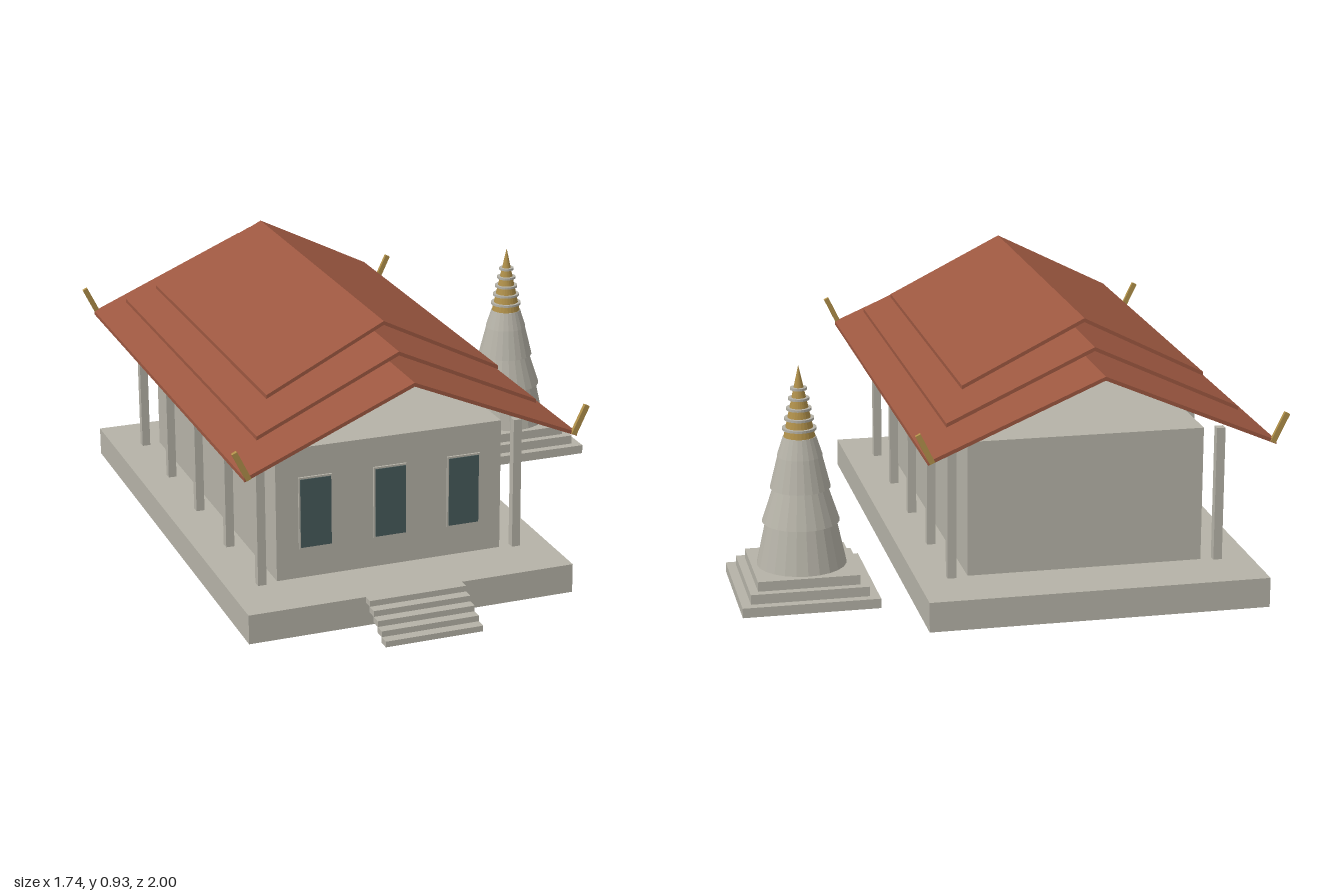
import * as THREE from 'three';

const stone = new THREE.MeshStandardMaterial({ color: 0xb5b2a7 });
const tile = new THREE.MeshStandardMaterial({ color: 0x9c5740 });
const gold = new THREE.MeshStandardMaterial({ color: 0xb0904a });
const glass = new THREE.MeshStandardMaterial({ color: 0x475a5a });
stone.name = 'stone';
tile.name = 'roofTile';
gold.name = 'gold';
glass.name = 'darkGlass';

const HALL_X = -0.265, HALL_Z = -0.086;

function add(parent, name, geometry, material, x, y, z) {
  const mesh = new THREE.Mesh(geometry, material);
  mesh.name = name;
  mesh.position.set(x, y, z);
  parent.add(mesh);
  return mesh;
}

// Box placed by the height of its underside
function box(parent, name, material, w, h, d, x, y0, z) {
  return add(parent, name, new THREE.BoxGeometry(w, h, d), material, x, y0 + h / 2, z);
}

// Faceted round section between two heights
function cone(parent, name, material, r0, r1, y0, y1) {
  const g = new THREE.CylinderGeometry(r1, r0, y1 - y0, 24).toNonIndexed();
  g.computeVertexNormals();
  return add(parent, name, g, material, 0, (y0 + y1) / 2, 0);
}

// Thin folded slab with its ridge along z
function roofTier(parent, name, halfWidth, eave, ridge, length) {
  const t = 0.013;
  const s = new THREE.Shape();
  s.moveTo(-halfWidth, eave);
  s.lineTo(-halfWidth, eave - t);
  s.lineTo(0, ridge - t);
  s.lineTo(halfWidth, eave - t);
  s.lineTo(halfWidth, eave);
  s.lineTo(0, ridge);
  s.closePath();
  const g = new THREE.ExtrudeGeometry(s, { depth: length, bevelEnabled: false });
  g.translate(0, 0, -length / 2);
  add(parent, name, g, tile, 0, 0, 0);
}

function createHall() {
  const hall = new THREE.Group();
  hall.name = 'hall';
  hall.position.set(HALL_X, 0, HALL_Z);

  box(hall, 'platform', stone, 1.13, 0.1, 1.815, 0, 0, 0);
  box(hall, 'walls', stone, 0.79, 0.455, 1.37, 0, 0.1, 0);

  // Side colonnades
  for (const side of [-1, 1])
    for (let i = 0; i < 5; i++)
      box(hall, 'column', stone, 0.029, 0.455, 0.029, side * 0.45, 0.1, (i - 2) * 0.3425);

  // Front windows with slim frames
  for (const x of [-0.26, 0, 0.26]) {
    box(hall, 'windowFrame', stone, 0.116, 0.25, 0.008, x, 0.203, 0.688);
    box(hall, 'windowPane', glass, 0.106, 0.238, 0.006, x, 0.209, 0.692);
  }

  // Front steps
  for (let i = 0; i < 5; i++)
    box(hall, 'step', stone, 0.335, 0.02, 0.04, 0, 0.08 - i * 0.02, 0.922 + i * 0.036);

  // Three stacked roof tiers
  roofTier(hall, 'lowerRoof', 0.568, 0.568, 0.811, 1.815);
  roofTier(hall, 'middleRoof', 0.482, 0.647, 0.871, 1.54);
  roofTier(hall, 'upperRoof', 0.403, 0.73, 0.932, 1.268);

  // Finials leaning outward at the four eave corners
  for (const x of [-1, 1])
    for (const z of [-1, 1]) {
      const f = add(hall, 'finial', new THREE.BoxGeometry(0.018, 0.105, 0.013), gold, x * 0.578, 0.61, z * 0.907);
      f.rotation.z = -x * 0.45;
    }
  return hall;
}

function createStupa() {
  const stupa = new THREE.Group();
  stupa.name = 'stupa';
  stupa.position.set(0.641, 0, -0.54);

  // Square stepped plinth
  [0.452, 0.39, 0.335].forEach((w, i) =>
    box(stupa, 'plinthStep', stone, w, 0.0325, w, 0, 0.008 + i * 0.0325, 0));

  // Overlapping tapered body: bottom radius, top radius, heights
  [
    [0.149, 0.117, 0.105, 0.252],
    [0.128, 0.09, 0.252, 0.367],
    [0.1, 0.073, 0.367, 0.475],
    [0.075, 0.054, 0.475, 0.54],
  ].forEach((p) => cone(stupa, 'bodyTier', stone, ...p));

  // Gold spire with stone rings
  cone(stupa, 'spire', gold, 0.052, 0.0005, 0.54, 0.777);
  for (let i = 0; i < 5; i++) {
    const r = 0.056 - i * 0.0072, y = 0.567 + i * 0.0335;
    cone(stupa, 'spireRing', stone, r, r, y - 0.004, y + 0.004);
  }
  return stupa;
}

export function createModel() {
  const model = new THREE.Group();
  model.name = 'temple';
  model.add(createHall(), createStupa());
  return model;
}
